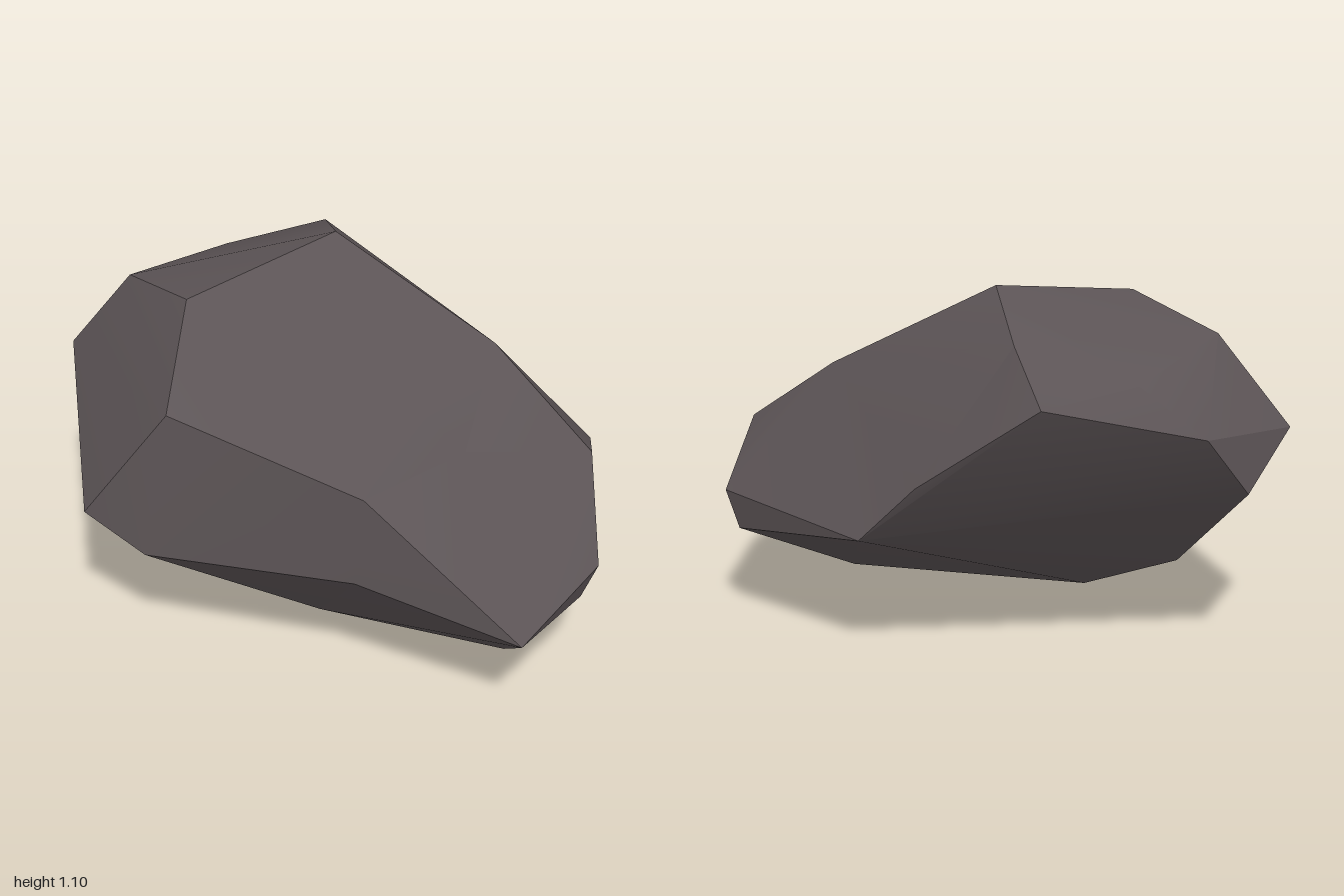
import * as THREE from 'three';
import { ConvexGeometry } from 'three/addons/geometries/ConvexGeometry.js';
import { toCreasedNormals } from 'three/addons/utils/BufferGeometryUtils.js';

const V = (x, y, z) => new THREE.Vector3(x, y, z);

// Corners that bound the dished top, the crown, the hollow back and the notched front edge
const peakFront = V(-0.36, 1.035, 0.34), peak = V(-0.18, 1.1, -0.265), ridge = V(0.41, 0.815, -0.31);
const knee = V(0.58, 0.69, 0.2), brow = V(0.46, 0.68, 0.605), dish = V(0.35, 0.73, 0.1);
const crownFront = V(-0.77, 0.945, 0.11), crownSide = V(-0.77, 0.863, -0.46), crownBack = V(-0.44, 0.975, -0.61);
const heelLeft = V(0.66, 0.41, -0.575), heel = V(0, 0.372, -0.778), heelRight = V(-0.2, 0.555, -0.775);
const chin = V(-0.235, 0.355, 0.775), tip = V(0.965, 0.305, 0.54), notch = V(0.44, 0.393, 0.622);

// Remaining corners, grouped by region
const front = [V(-0.18, 0.83, 0.705), V(-0.48, 0.43, 0.765)];
const leftSide = [V(0.83, 0.58, -0.195), V(1, 0.36, 0.09), V(0.96, 0.25, 0.12), V(0.825, 0.15, 0.37)];
const back = [V(-0.59, 0.815, -0.72), V(0.607, 0.288, -0.575)];
const rightSide = [V(-1, 0.66, 0.16), V(-1, 0.51, -0.17), V(-0.95, 0.705, -0.37)];
const base = [V(-0.69, 0.22, 0.01), V(-0.39, 0.115, -0.05), V(0.13, 0.03, 0.33), V(0.62, 0, 0.1)];

// Triangles of the convex hull, as triples of the given corners
function hullTriangles(corners) {
  const pos = new ConvexGeometry(corners).attributes.position;
  const triangles = [];
  for (let i = 0; i < pos.count; i += 3) {
    triangles.push([0, 1, 2].map((j) => {
      const p = V(0, 0, 0).fromBufferAttribute(pos, i + j);
      return corners.find((c) => c.distanceTo(p) < 1e-4);
    }));
  }
  return triangles;
}

// Re-cut the area inside a loop of corners as a fan from its first corner
function fanInside(triangles, loop) {
  const kept = triangles.filter((t) => !t.every((c) => loop.includes(c)));
  for (let i = 1; i < loop.length - 1; i++) kept.push([loop[0], loop[i], loop[i + 1]]);
  return kept;
}

// Sink the area inside a loop of corners to a low point
function sinkInside(triangles, loop, low) {
  const kept = triangles.filter((t) => !t.every((c) => loop.includes(c)));
  loop.forEach((c, i) => kept.push([low, c, loop[(i + 1) % loop.length]]));
  return kept;
}

// Break the edge between two corners at a new point
function splitEdge(triangles, a, b, point) {
  return triangles.flatMap((t) => (t.includes(a) && t.includes(b)
    ? [t.map((c) => (c === a ? point : c)), t.map((c) => (c === b ? point : c))]
    : [t]));
}

export function createModel() {
  const group = new THREE.Group();
  group.name = 'boulder';

  const stone = new THREE.MeshStandardMaterial({ color: 0x5c5456 });
  stone.name = 'dark stone';

  // Faceted rock, then its dish, crown, hollow back and front notch
  const corners = [peakFront, peak, ridge, knee, brow, crownFront, crownSide, crownBack,
    heelLeft, heel, heelRight, chin, tip, ...front, ...leftSide, ...back, ...rightSide, ...base];
  let triangles = hullTriangles(corners);
  triangles = sinkInside(triangles, [peakFront, brow, knee, ridge, peak], dish);
  triangles = fanInside(triangles, [peak, crownBack, crownSide, crownFront]);
  triangles = fanInside(triangles, [ridge, heelLeft, heel, heelRight, crownBack, peak]);
  triangles = splitEdge(triangles, chin, tip, notch);

  // Only the shallower folds are softened
  const geometry = new THREE.BufferGeometry().setFromPoints(triangles.flat());
  const rock = new THREE.Mesh(toCreasedNormals(geometry, 0.45), stone);
  rock.name = 'rock';
  group.add(rock);

  return group;
}
